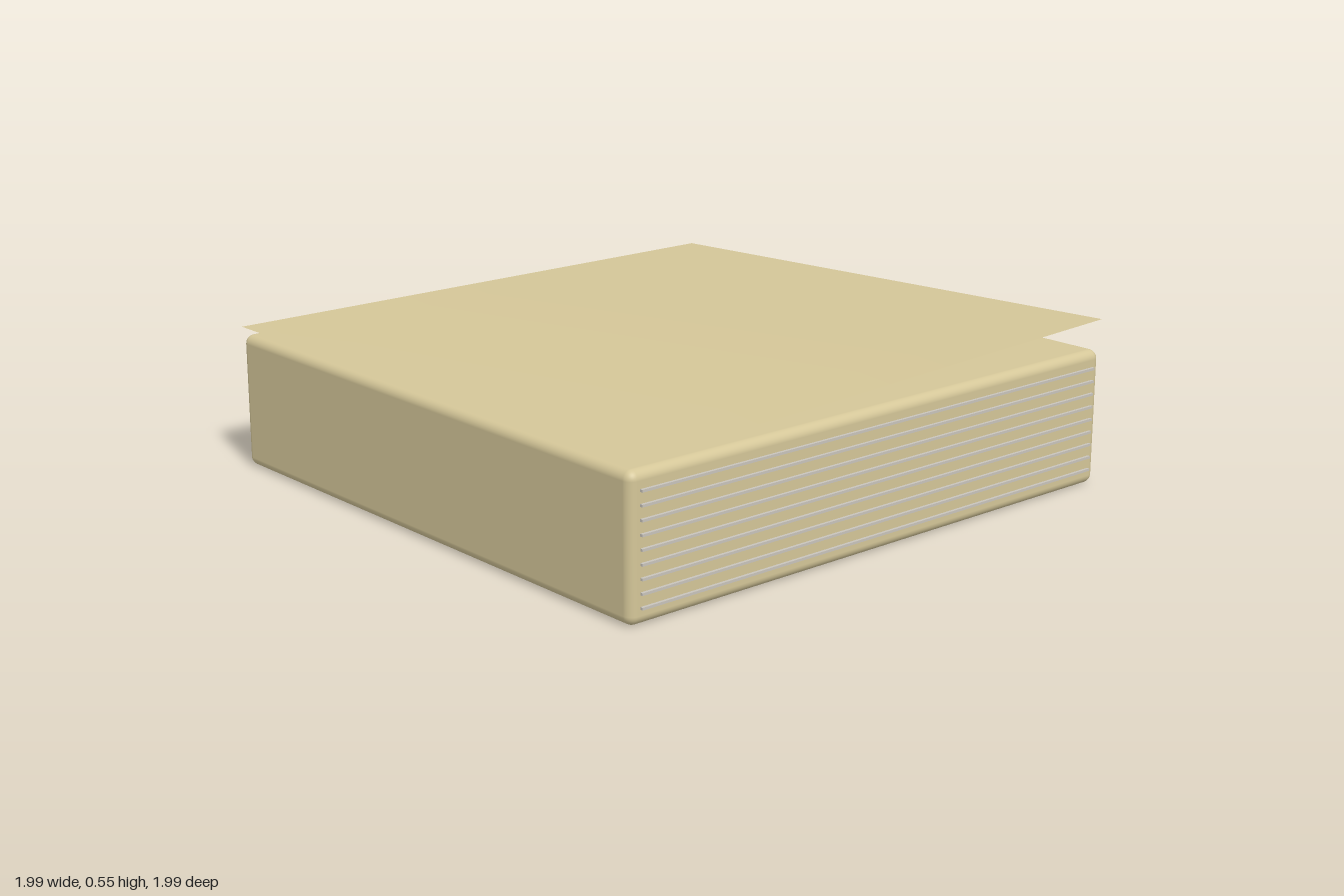
import * as THREE from 'three';
import { RoundedBoxGeometry } from 'three/addons/geometries/RoundedBoxGeometry.js';

const SIZE = 1.985, HEIGHT = 0.45, CENTRE_Z = -0.005;

function addMesh(parent, name, geometry, material, x, y, z) {
  const mesh = new THREE.Mesh(geometry, material);
  mesh.name = name;
  mesh.position.set(x, y, z);
  parent.add(mesh);
  return mesh;
}

export function createModel() {
  const model = new THREE.Group();
  model.name = 'notePad';
  const paper = new THREE.MeshStandardMaterial({ color: 0xd4c698 });
  const sheetPaper = new THREE.MeshStandardMaterial({ color: 0xd4c698, side: THREE.DoubleSide });
  const lineGrey = new THREE.MeshStandardMaterial({ color: 0xc8c4bc });

  // Stack of paper with softly rounded edges
  addMesh(model, 'paperStack', new RoundedBoxGeometry(SIZE, HEIGHT, SIZE, 4, 0.03),
    paper, 0, HEIGHT / 2, CENTRE_Z);

  // Thin lines across the front showing the sheet edges
  const edges = new THREE.Group();
  edges.name = 'sheetEdges';
  const line = new THREE.BoxGeometry(1.91, 0.008, 0.02);
  for (let i = 0; i < 9; i++) {
    addMesh(edges, 'sheetEdge', line, lineGrey, 0, 0.053 + i * 0.0425, 0.987);
  }
  model.add(edges);

  // Loose top sheet, its front corner on the +x side lifted
  const sheet = new THREE.PlaneGeometry(SIZE, SIZE, 12, 12).rotateX(-Math.PI / 2);
  const p = sheet.attributes.position;
  for (let i = 0; i < p.count; i++) {
    const u = p.getX(i) / SIZE + 0.5, v = p.getZ(i) / SIZE + 0.5;
    p.setY(i, 0.075 * u * v);
  }
  sheet.computeVertexNormals();
  addMesh(model, 'topSheet', sheet, sheetPaper, 0, 0.475, CENTRE_Z);

  return model;
}
